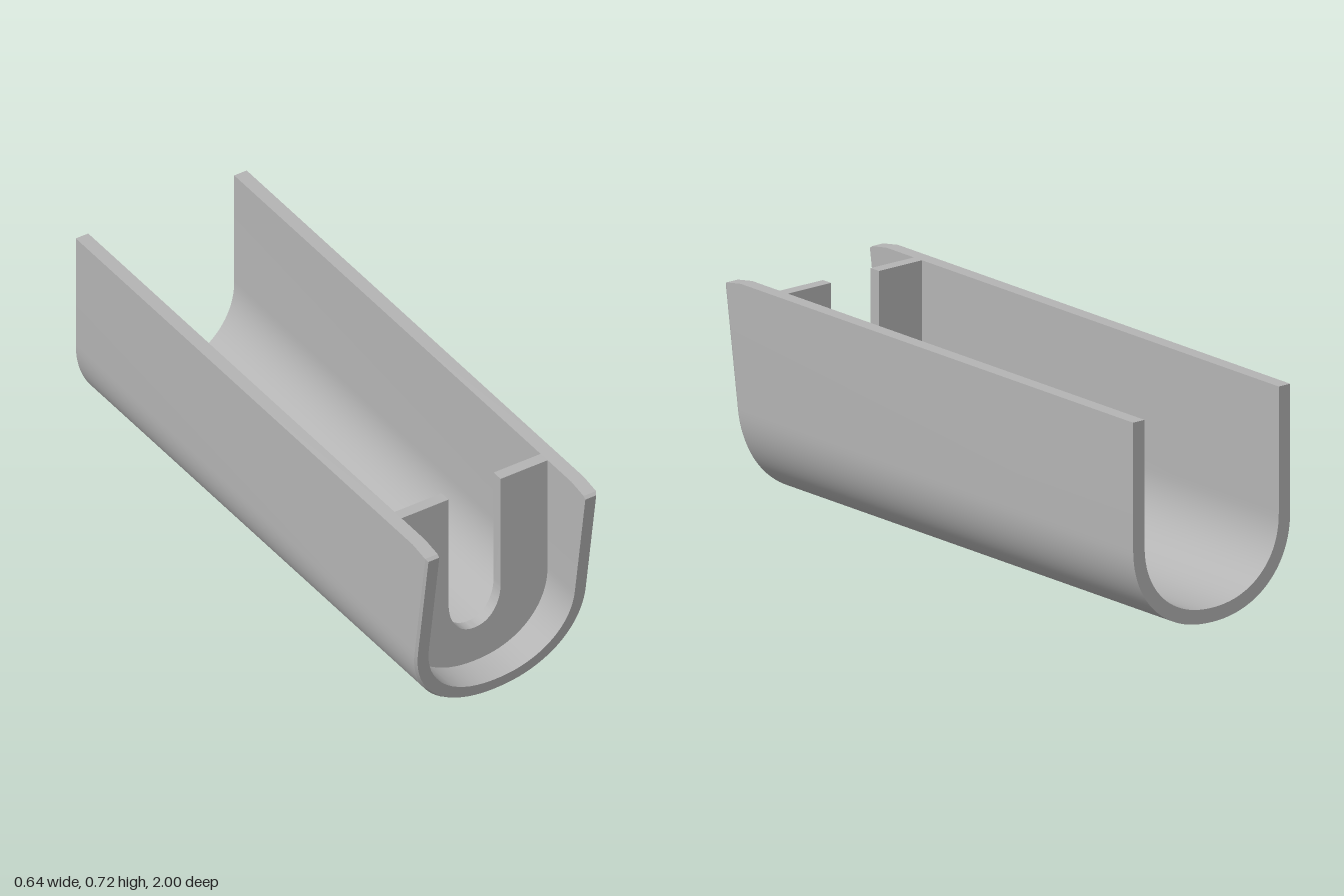
import * as THREE from 'three';
import { toCreasedNormals } from 'three/addons/utils/BufferGeometryUtils.js';

const TOP = 0.72, LIP = 0.708, BACK = -1, POWER = 2.155;
const HOLE = { x0: -0.165, x1: 0.065, tip: -0.02, base: 0.44, steps: 10 };

// Rounded trough height at x: half width a, lowest point y0, curve ends at height c
const trough = (x, a, y0, c) =>
  y0 + (c - y0) * (1 - Math.pow(Math.max(0, 1 - Math.pow(Math.abs(x / a), POWER)), 1 / POWER));

const troughX = (a, t) => a * Math.sign(t) * Math.pow(Math.abs(Math.sin(t)), 2 / POWER);

// Even angles across the trough
const ANGLES = Array.from({ length: 49 }, (_, i) => (i / 48 - 0.5) * Math.PI);

// U profile from the -x rim to the +x rim, with columns lined up on the floor cutout
function profile(a, y0, wallY) {
  const clear = (t) => troughX(0.275, t) < HOLE.x0 - 0.004 || troughX(0.275, t) > HOLE.x1 + 0.004;
  const cols = ANGLES.filter(clear).map((t) => ({ x: troughX(a, t), hole: false }));
  for (let i = 0; i <= HOLE.steps; i++) {
    cols.push({ x: HOLE.x0 + ((HOLE.x1 - HOLE.x0) * i) / HOLE.steps, hole: true });
  }
  cols.sort((p, q) => p.x - q.x);
  const pts = cols.map((p) => ({ ...p, y: trough(p.x, a, y0, 0.305) }));
  const wall = (s) => wallY.map((y) => ({ x: s * a, y, hole: false }));
  return [...wall(-1).reverse(), ...pts, ...wall(1)];
}

// Raked front edge, dropping back above the lip
const frontZ = (y) => (y <= 0.7 ? 0.895 + 0.15 * y
  : y <= LIP ? 1 - (0.01 * (y - 0.7)) / (LIP - 0.7)
    : 0.99 - (0.07 * (y - LIP)) / (TOP - LIP));

// Back edge of the triangular cutout at x
const holeZ = (x) => {
  const mid = (HOLE.x0 + HOLE.x1) / 2, half = (HOLE.x1 - HOLE.x0) / 2;
  return HOLE.tip + ((HOLE.base - HOLE.tip) * Math.abs(x - mid)) / half;
};

function channelGeometry() {
  const inner = profile(0.275, 0.047, [0.7, LIP, TOP]);
  const outer = profile(0.322, 0, [0.7, LIP, TOP]);
  const inset = profile(0.316, 0.006, [0.7, LIP, TOP]);
  const n = inner.length;
  const verts = [];
  const tri = (a, b, c) => {
    const area = b.clone().sub(a).cross(c.clone().sub(a)).length();
    if (area > 1e-9) for (const p of [a, b, c]) verts.push(p.x, p.y, p.z);
  };
  const quad = (a, b, c, d) => { tri(a, b, c); tri(a, c, d); };
  const at = (p, z) => new THREE.Vector3(p.x, p.y, z);
  const row = (pts, zOf) => pts.map((p) => at(p, zOf(p)));

  // Edge rings: back, front, and the small chamfer around the front
  const innerBack = row(inner, () => BACK), outerBack = row(outer, () => BACK);
  const innerFront = row(inner, (p) => frontZ(p.y));
  const outerFront = row(outer, (p) => (p.y > 0.704 ? frontZ(p.y) : frontZ(p.y) - 0.01));
  const insetFront = inset.map((p, i) => (p.y > 0.704 ? outerFront[i] : at(p, frontZ(p.y))));
  // Cutout rings
  const innerTip = row(inner, (p) => holeZ(p.x)), outerTip = row(outer, (p) => holeZ(p.x));
  const innerBase = row(inner, () => HOLE.base), outerBase = row(outer, () => HOLE.base);

  const strip = (a, b, i) => quad(a[i], a[i + 1], b[i + 1], b[i]);
  for (let i = 0; i < n - 1; i++) {
    if (inner[i].hole && inner[i + 1].hole) {
      strip(outerBack, outerTip, i);
      strip(outerBase, outerFront, i);
      strip(innerTip, innerBack, i);
      strip(innerFront, innerBase, i);
      strip(outerTip, innerTip, i);
      strip(innerBase, outerBase, i);
    } else {
      strip(outerBack, outerFront, i);
      strip(innerFront, innerBack, i);
    }
    strip(outerFront, insetFront, i);
    strip(insetFront, innerFront, i);
    strip(innerBack, outerBack, i);
  }
  // Flat rims on top of both walls
  const e = n - 1;
  quad(outerBack[0], outerFront[0], innerFront[0], innerBack[0]);
  quad(innerBack[e], innerFront[e], outerFront[e], outerBack[e]);

  const geo = new THREE.BufferGeometry();
  geo.setAttribute('position', new THREE.Float32BufferAttribute(verts, 3));
  return toCreasedNormals(geo, 0.45);
}

// Cross wall with a U-shaped opening
function partitionGeometry() {
  const curve = (a, y0, c) => ANGLES.map((t) => {
    const x = troughX(a, t);
    return new THREE.Vector2(x, trough(x, a, y0, c));
  });
  const opening = curve(0.098, 0.177, 0.31).reverse();
  const shape = new THREE.Shape([
    new THREE.Vector2(-0.275, TOP), ...curve(0.275, 0.047, 0.305), new THREE.Vector2(0.275, TOP),
    new THREE.Vector2(0.098, TOP), ...opening, new THREE.Vector2(-0.098, TOP),
  ]);
  const geo = new THREE.ExtrudeGeometry(shape, { depth: 0.04, bevelEnabled: false });
  geo.translate(0, 0, 0.745);
  return toCreasedNormals(geo, 0.45);
}

export function createModel() {
  const grey = new THREE.MeshStandardMaterial({ color: 0xb4b4b4 });
  grey.name = 'plain grey';
  const group = new THREE.Group();
  group.name = 'channel';
  const add = (name, geo) => {
    const mesh = new THREE.Mesh(geo, grey);
    mesh.name = name;
    group.add(mesh);
  };
  add('channelShell', channelGeometry());
  add('partition', partitionGeometry());
  return group;
}
